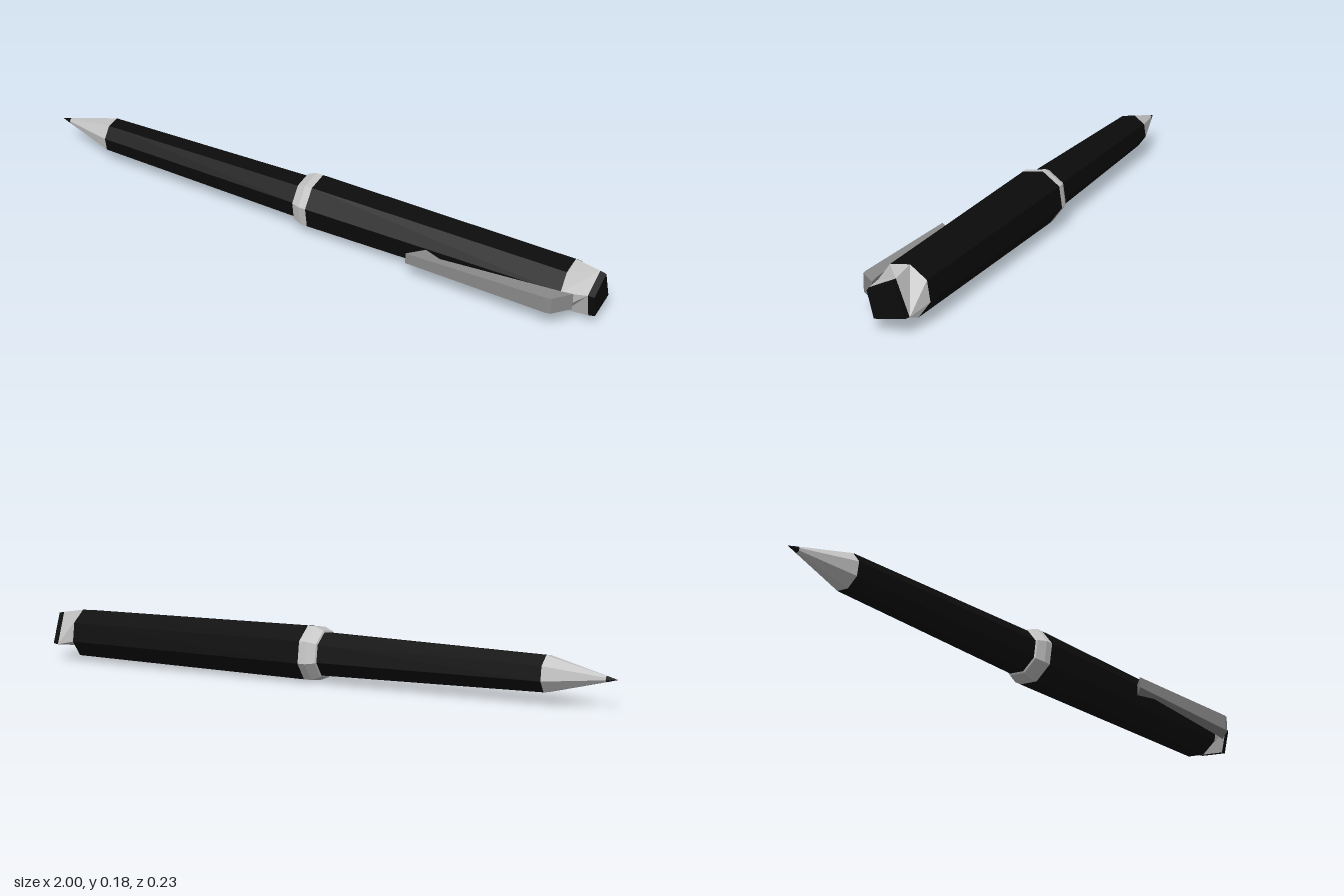
import * as THREE from 'three';

const CY = 0.09, CZ = -0.028, SIDES = 8;
const rad = THREE.MathUtils.degToRad;

// cross-section points around the pen axis, counter-clockwise as seen from +x
const point = (x, r, deg) =>
  [x, CY + r * Math.sin(rad(deg)), CZ - r * Math.cos(rad(deg))];

function octagon(x, r) {
  return Array.from({ length: SIDES }, (_, i) => point(x, r, 31 + i * 45));
}

// four-cornered section, each corner doubled so that it joins an octagon
function square(x, r) {
  return [-33, 74, 156, 232].flatMap((a) => [point(x, r, a), point(x, r, a)]);
}

// flat-faced skin through a list of sections, closed at the +x end on request
function loft(rings, capped = false) {
  const pos = [];
  for (let k = 0; k < rings.length - 1; k++) {
    const a = rings[k], b = rings[k + 1];
    for (let i = 0; i < SIDES; i++) {
      const j = (i + 1) % SIDES;
      pos.push(...a[i], ...a[j], ...b[j], ...a[i], ...b[j], ...b[i]);
    }
  }
  if (capped) {
    const e = rings[rings.length - 1];
    for (let i = 1; i < SIDES - 1; i++) pos.push(...e[0], ...e[i], ...e[i + 1]);
  }
  const g = new THREE.BufferGeometry();
  g.setAttribute('position', new THREE.Float32BufferAttribute(pos, 3));
  g.computeVertexNormals();
  return g;
}

export function createModel() {
  const group = new THREE.Group();
  const material = (name, color) => {
    const m = new THREE.MeshStandardMaterial({ color, flatShading: true });
    m.name = name;
    return m;
  };
  const black = material('black', 0x0b0b0b);
  const silver = material('silver', 0xc4c4c4);
  const grey = material('grey', 0x8a8a8a);
  const add = (name, geometry, mat) => {
    const mesh = new THREE.Mesh(geometry, mat);
    mesh.name = name;
    group.add(mesh);
  };

  // writing end
  add('point', loft([octagon(-1, 0), octagon(-0.965, 0.01)]), black);
  add('tipCone', loft([octagon(-0.965, 0.01), octagon(-0.78, 0.06)]), silver);
  add('lowerBarrel', loft([octagon(-0.78, 0.06), octagon(-0.03, 0.074)]), black);

  // middle ring
  add('middleRing', loft([octagon(-0.035, 0.07), octagon(-0.03, 0.08),
    octagon(0, 0.0925), octagon(0.025, 0.0925)]), silver);

  // cap and its end
  add('cap', loft([octagon(0.025, 0.0925), octagon(0.9, 0.084)]), black);
  add('capCollar', loft([octagon(0.9, 0.084), square(0.98, 0.071)]), silver);
  add('endPlug', loft([square(0.98, 0.071), square(1, 0.067)], true), black);

  // clip: side profile in x and z, widening towards the cap end
  const profile = new THREE.Shape([
    [0.41, 0.108], [0.455, 0.06], [0.515, 0.083], [0.9, 0.056],
    [0.94, 0.05], [0.895, 0.104], [0.88, 0.108],
  ].map(([x, z]) => new THREE.Vector2(x, z)));
  const clip = new THREE.ExtrudeGeometry(profile, { depth: 1, bevelEnabled: false });
  clip.translate(0, 0, -0.5).rotateX(Math.PI / 2);
  const p = clip.attributes.position;
  for (let i = 0; i < p.count; i++) {
    const t = (p.getX(i) - 0.41) / 0.49;
    const width = THREE.MathUtils.lerp(0.036, 0.055, Math.min(t, 1));
    p.setY(i, 0.091 + p.getY(i) * width);
  }
  clip.computeVertexNormals();
  add('clip', clip, grey);

  return group;
}
